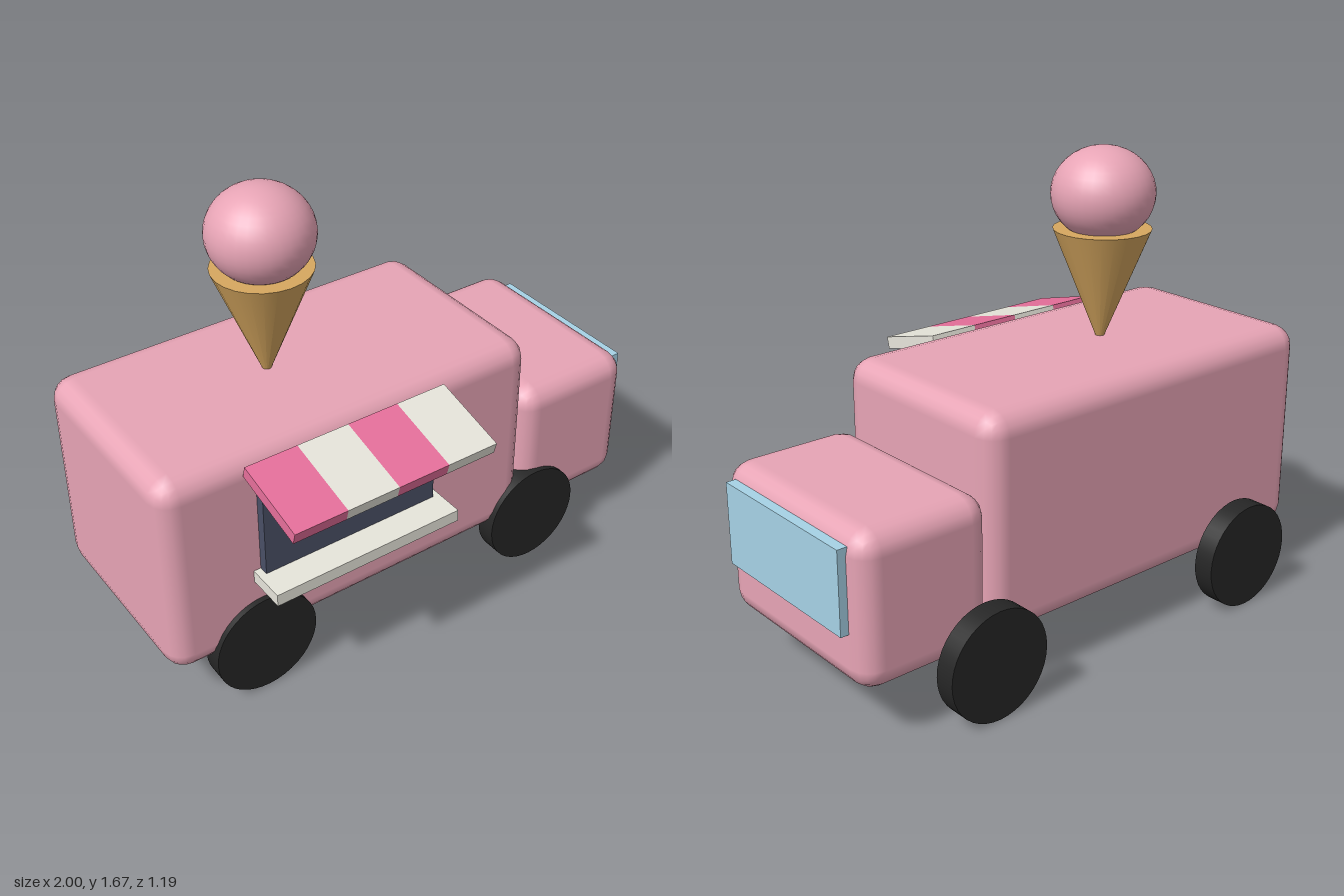
import * as THREE from 'three';
import { RoundedBoxGeometry } from 'three/addons/geometries/RoundedBoxGeometry.js';

function paint(name, color) {
  const m = new THREE.MeshStandardMaterial({ color });
  m.name = name;
  return m;
}

export function createModel() {
  const truck = new THREE.Group();
  truck.name = 'iceCreamTruck';

  const pink = paint('pink', 0xf2acbe);
  const rose = paint('rose', 0xe8709c);
  const cream = paint('cream', 0xe8e6dc);
  const glass = paint('glass', 0xa6d2e6);
  const navy = paint('navy', 0x4a5066);
  const waffle = paint('waffle', 0xd6a75f);
  const rubber = paint('rubber', 0x262626);

  function add(name, geometry, material, x, y, z, parent = truck) {
    const mesh = new THREE.Mesh(geometry, material);
    mesh.name = name;
    mesh.position.set(x, y, z);
    parent.add(mesh);
    return mesh;
  }
  // Box given by its lower and upper limits on each axis
  function span(name, material, [x0, x1], [y0, y1], [z0, z1], radius = 0) {
    const size = [x1 - x0, y1 - y0, z1 - z0];
    const geometry = radius
      ? new RoundedBoxGeometry(...size, 2, radius)
      : new THREE.BoxGeometry(...size);
    return add(name, geometry, material, (x0 + x1) / 2, (y0 + y1) / 2, (z0 + z1) / 2);
  }

  // Rounded body and cab, with the windscreen at the +x end
  span('body', pink, [-1.003, 0.475], [0.197, 0.985], [-0.495, 0.297], 0.08);
  span('cab', pink, [0.467, 0.968], [0.197, 0.738], [-0.495, 0.297], 0.08);
  span('windscreen', glass, [0.95, 0.997], [0.397, 0.69], [-0.418, 0.22]);

  // Serving hatch and counter
  span('hatch', navy, [-0.658, 0.027], [0.49, 0.84], [0.27, 0.332]);
  span('counter', cream, [-0.685, 0.054], [0.474, 0.52], [0.25, 0.441]);

  // Striped awning, sloping down and outwards
  const awning = new THREE.Group();
  awning.name = 'awning';
  awning.position.set(-0.315, 0.91, 0.448);
  awning.rotation.x = 0.26;
  truck.add(awning);
  const stripe = 0.195;
  for (let i = 0; i < 4; i++) {
    add('awningStripe', new THREE.BoxGeometry(stripe, 0.045, 0.293),
      i % 2 ? cream : rose, (i - 1.5) * stripe, 0, 0, awning);
  }

  // Wheels
  const wheel = new THREE.CylinderGeometry(0.196, 0.196, 0.077, 40).rotateX(Math.PI / 2);
  for (const x of [-0.658, 0.521]) {
    for (const z of [0.279, -0.559]) add('wheel', wheel, rubber, x, 0.196, z);
  }

  // Giant cone and scoop on the roof
  add('cone', new THREE.ConeGeometry(0.175, 0.432, 24).rotateX(Math.PI), waffle, -0.364, 1.161, -0.1);
  add('scoop', new THREE.SphereGeometry(0.184, 32, 20), pink, -0.364, 1.501, -0.1).scale.y = 0.9;

  return truck;
}
